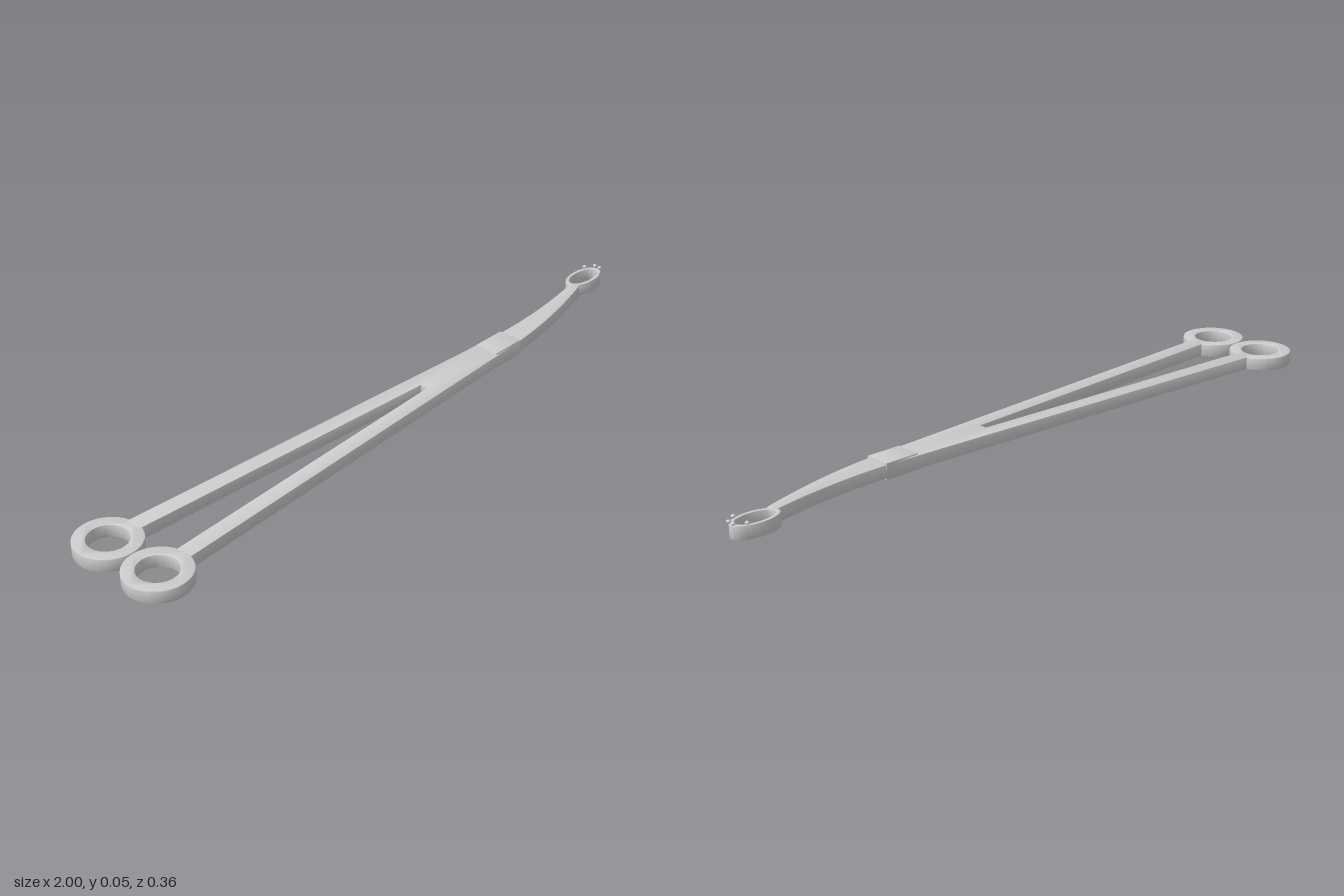
import * as THREE from 'three';
import { toCreasedNormals } from 'three/addons/utils/BufferGeometryUtils.js';

const material = new THREE.MeshStandardMaterial({ color: 0xcccccc });
const BOTTOM = 0.005, TOP = 0.042;

// Plate lying flat between two heights, with finely bevelled edges. Shape y is -z.
function plate(name, shape, y0 = BOTTOM, y1 = TOP) {
  const bevel = 0.0025;
  const geometry = new THREE.ExtrudeGeometry(shape, {
    depth: y1 - y0 - 2 * bevel, curveSegments: 32,
    bevelEnabled: true, bevelThickness: bevel, bevelSize: bevel, bevelOffset: -bevel, bevelSegments: 2,
  });
  geometry.translate(0, 0, y0 + bevel).rotateX(-Math.PI / 2);
  const mesh = new THREE.Mesh(toCreasedNormals(geometry, 0.6), material);
  mesh.name = name;
  return mesh;
}

function ringShape(x, z, rx, rz, holeX, holeZ) {
  const shape = new THREE.Shape();
  shape.absellipse(x, -z, rx, rz, 0, Math.PI * 2);
  const hole = new THREE.Path();
  hole.absellipse(x, -z, holeX, holeZ, 0, Math.PI * 2, true);
  shape.holes.push(hole);
  return shape;
}

export function createModel() {
  const group = new THREE.Group();
  group.name = 'ringForceps';

  // Finger rings
  for (const [name, side] of [['leftFingerRing', -1], ['rightFingerRing', 1]]) {
    group.add(plate(name, ringShape(-0.911, side * 0.09, 0.089, 0.089, 0.054, 0.054)));
  }

  // Two handle arms merging into one shank
  const half = [[-0.838, 0.112], [0.49, 0.035]];
  const inner = [[-0.838, 0.064], [0.125, 0.011]];
  const outline = [
    ...half, ...half.map(([x, z]) => [x, -z]).reverse(),
    ...inner.map(([x, z]) => [x, -z]), ...[...inner].reverse(),
  ];
  group.add(plate('handleArms', new THREE.Shape(outline.map(([x, z]) => new THREE.Vector2(x, -z)))));

  // Joint block
  const block = new THREE.Shape();
  block.moveTo(0.385, -0.037).lineTo(0.49, -0.037).lineTo(0.49, 0.037).lineTo(0.385, 0.037).closePath();
  group.add(plate('jointBlock', block, 0, 0.047));

  // Curved, tapering jaw
  const jaw = new THREE.Shape();
  jaw.moveTo(0.47, -0.035);
  jaw.lineTo(0.49, -0.034);
  jaw.quadraticCurveTo(0.67, -0.018, 0.866, 0.045);
  jaw.lineTo(0.866, 0.074);
  jaw.quadraticCurveTo(0.67, 0.033, 0.49, 0.036);
  jaw.lineTo(0.47, 0.036);
  jaw.closePath();
  group.add(plate('curvedJaw', jaw));

  // Oval gripping ring at the tip
  const tipX = 0.922, tipZ = -0.074;
  group.add(plate('tipRing', ringShape(tipX, tipZ, 0.07, 0.037, 0.057, 0.027)));

  // Small teeth along the outer end of the oval
  const toothGeometry = new THREE.SphereGeometry(1, 16, 10);
  for (const offset of [-0.0275, -0.009, 0.009, 0.0275]) {
    const tooth = new THREE.Mesh(toothGeometry, material);
    tooth.name = 'tooth';
    tooth.scale.set(0.006, 0.0045, 0.006);
    tooth.position.set(tipX + 0.071 * Math.sqrt(1 - (offset / 0.034) ** 2), 0.0475, tipZ + offset);
    group.add(tooth);
  }
  return group;
}
